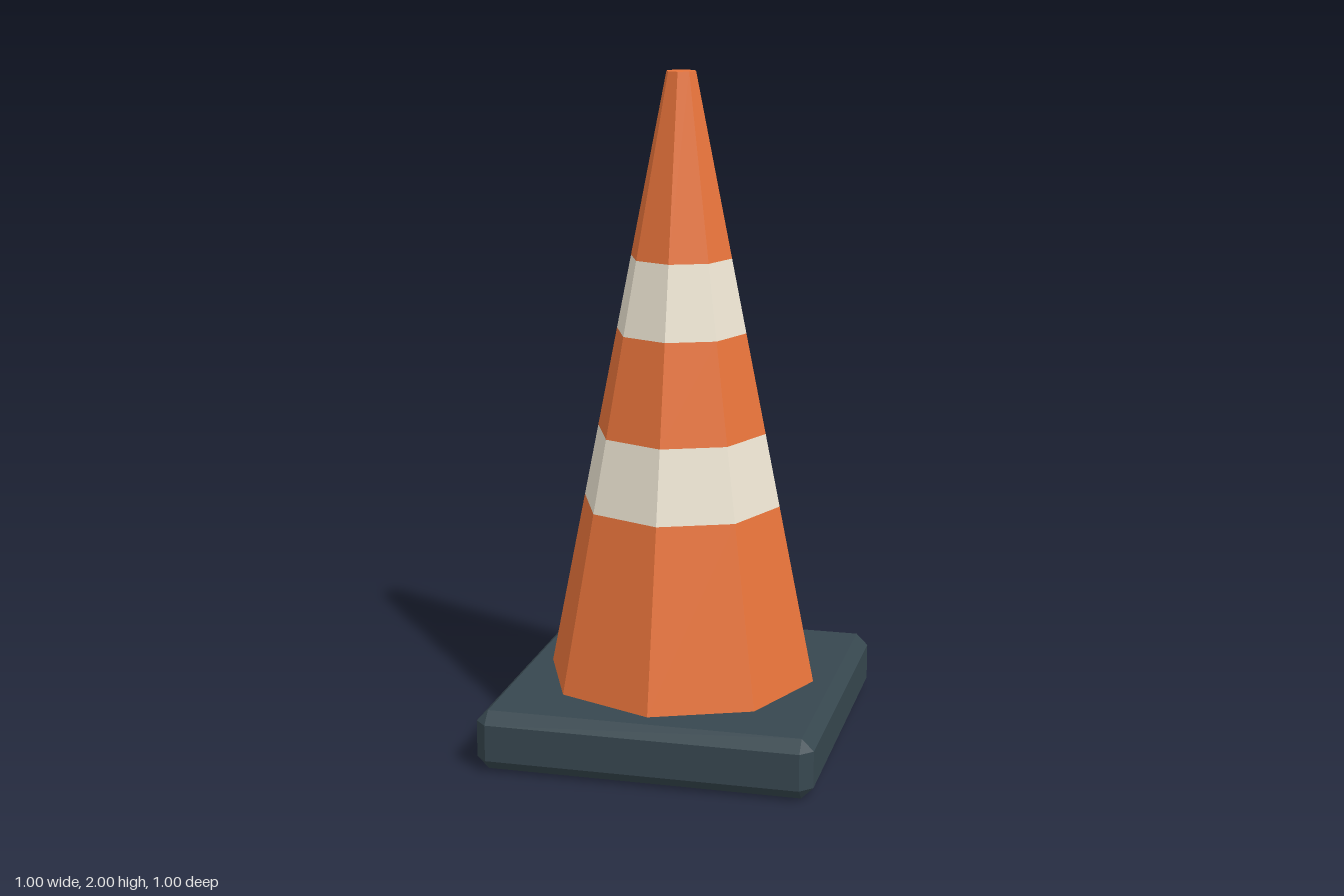
import * as THREE from 'three';
import { ConvexGeometry } from 'three/addons/geometries/ConvexGeometry.js';

const material = (color) => new THREE.MeshStandardMaterial({ color, flatShading: true });

// Box with all edges chamfered by c, as the hull of its 24 corner points
function chamferedBox(w, h, d, c) {
  const points = [];
  for (const sx of [-1, 1]) for (const sy of [-1, 1]) for (const sz of [-1, 1]) {
    const [x, y, z] = [sx * w / 2, sy * h / 2, sz * d / 2];
    points.push(
      new THREE.Vector3(x, y - sy * c, z - sz * c),
      new THREE.Vector3(x - sx * c, y, z - sz * c),
      new THREE.Vector3(x - sx * c, y - sy * c, z),
    );
  }
  return new ConvexGeometry(points);
}

export function createModel() {
  const group = new THREE.Group();
  const orange = material(0xe8743b);
  const cream = material(0xede5d3);
  const baseTop = 0.18, coneTop = 2;

  // Square base slab
  const base = new THREE.Mesh(chamferedBox(1, baseTop, 1, 0.035), material(0x37474f));
  base.name = 'base';
  base.position.y = baseTop / 2;
  group.add(base);

  // Eight-sided cone, stacked from flush orange and cream sections
  const radiusAt = (y) => THREE.MathUtils.mapLinear(y, baseTop, coneTop, 0.41, 0.044);
  const levels = [baseTop, 0.72, 0.94, 1.24, 1.46, coneTop];
  const names = ['coneLower', 'lowerBand', 'coneMiddle', 'upperBand', 'coneUpper'];
  names.forEach((name, i) => {
    const [y0, y1] = [levels[i], levels[i + 1]];
    const capped = y1 === coneTop;
    const section = new THREE.Mesh(
      new THREE.CylinderGeometry(radiusAt(y1), radiusAt(y0), y1 - y0, 8, 1, !capped),
      i % 2 ? cream : orange,
    );
    section.name = name;
    section.position.y = (y0 + y1) / 2;
    group.add(section);
  });

  return group;
}
